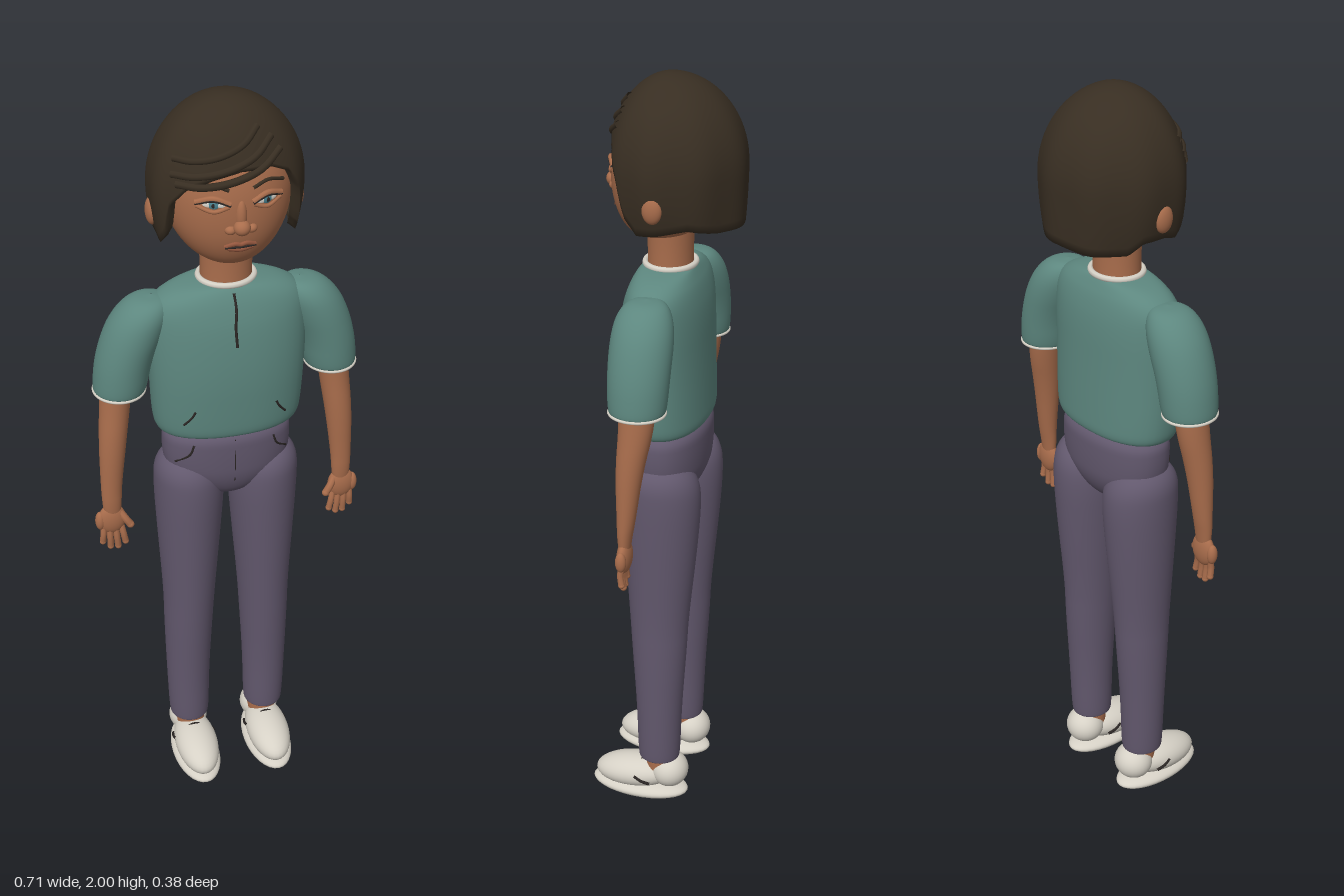
import * as THREE from 'three';

const mat = (name, color, side = THREE.FrontSide) => {
  const m = new THREE.MeshStandardMaterial({ color, side });
  m.name = name;
  return m;
};

// Smooth body from horizontal rings [x, y, z, rx, rz], listed bottom to top.
function loft(rings, power = 2, seg = 40) {
  let rows = rings;
  for (let k = 0; k < 3; k++) {
    const next = [rows[0]];
    for (let i = 0; i < rows.length - 1; i++) {
      for (const t of [0.25, 0.75]) next.push(rows[i].map((v, n) => v + (rows[i + 1][n] - v) * t));
    }
    next.push(rows[rows.length - 1]);
    rows = next;
  }
  const curve = (v) => Math.sign(v) * Math.abs(v) ** (2 / power);
  const pos = [], idx = [];
  rows.forEach(([x, y, z, rx, rz], i) => {
    for (let j = 0; j < seg; j++) {
      const a = (j / seg) * Math.PI * 2;
      pos.push(x + rx * curve(Math.cos(a)), y, z + rz * curve(Math.sin(a)));
      if (i === rows.length - 1) continue;
      const p = i * seg + j, q = i * seg + ((j + 1) % seg);
      idx.push(p, p + seg, q, q, p + seg, q + seg);
    }
  });
  return toGeometry(pos, idx);
}

function toGeometry(pos, idx) {
  const g = new THREE.BufferGeometry();
  g.setAttribute('position', new THREE.Float32BufferAttribute(pos, 3));
  g.setIndex(idx);
  g.computeVertexNormals();
  return g;
}

// Lower hair edge: [azimuth in degrees from the front towards the left, height]
const HAIRLINE = [[-180, 1.65], [-150, 1.64], [-122, 1.64], [-110, 1.67], [-90, 1.67], [-75, 1.66], [-64, 1.69],
  [-57, 1.77], [-40, 1.825], [-20, 1.85], [0, 1.865], [25, 1.865], [42, 1.84], [55, 1.775], [62, 1.69],
  [75, 1.65], [95, 1.655], [120, 1.67], [145, 1.655], [180, 1.65]];

function hairEdge(deg) {
  const i = Math.max(1, HAIRLINE.findIndex((k) => k[0] >= deg));
  const [a, ya] = HAIRLINE[i - 1], [b, yb] = HAIRLINE[i];
  return ya + ((yb - ya) * (deg - a)) / (b - a);
}

function hairPoint(deg, y, scale = 1) {
  const a = THREE.MathUtils.degToRad(deg), s = Math.sin(a), c = Math.cos(a);
  const h = y > 1.78 ? Math.min(1, (y - 1.78) / 0.22) : 0;
  let r = Math.sqrt(1 - h * h);
  if (y < 1.78) r -= ((1.78 - y) / 0.14) ** 2 * (0.02 + 0.1 * s * s);
  r *= scale * (1 + 0.013 * Math.sin(a * 9) * (1 - h));
  return new THREE.Vector3(0.186 * s * r, y, (c > 0 ? 0.147 : 0.187) * c * r);
}

function hairGeometry() {
  const seg = 120, rows = 26, pos = [], idx = [];
  for (let i = 0; i <= rows + 2; i++) {
    for (let j = 0; j < seg; j++) {
      const deg = -180 + (360 * j) / seg, low = hairEdge(deg);
      const t = Math.min(1, i / rows);
      const y = 2 - (2 - low) * (1 - Math.cos((t * Math.PI) / 2));
      // The last two rows fold under to give the edge thickness
      const p = hairPoint(deg, i > rows ? low + 0.008 * (i - rows) : y, i > rows ? 1 - 0.07 * (i - rows) : 1);
      pos.push(p.x, p.y, p.z);
      if (i === rows + 2) continue;
      const a = i * seg + j, b = i * seg + ((j + 1) % seg);
      idx.push(a, a + seg, b, b, a + seg, b + seg);
    }
  }
  return toGeometry(pos, idx);
}

export function createModel() {
  const model = new THREE.Group();
  const skin = mat('skin', 0xa96d4c), shirt = mat('shirt', 0x5d877f), pants = mat('trousers', 0x62586d);
  const hair = mat('hair', 0x382e22, THREE.DoubleSide), cream = mat('shoe cream', 0xd6d1c6);
  const line = mat('dark stitching', 0x2b2624), white = mat('eye white', 0xd8d4cc);
  const iris = mat('iris', 0x4b8290), lip = mat('lip', 0x96583f);

  const add = (name, geo, material, parent = model) => {
    const m = new THREE.Mesh(geo, material);
    m.name = name;
    parent.add(m);
    return m;
  };
  const ball = (name, material, p, r, parent = model) => {
    const m = add(name, new THREE.SphereGeometry(1, 32, 20), material, parent);
    m.position.set(...p);
    m.scale.set(...r);
    return m;
  };
  const tube = (name, material, pts, r, parent = model) =>
    add(name, new THREE.TubeGeometry(new THREE.CatmullRomCurve3(pts), 20, r, 8), material, parent);
  const ring = (name, material, p, rx, rz, r) => {
    const m = add(name, new THREE.TorusGeometry(1, r / rx, 8, 40), material);
    m.rotation.x = Math.PI / 2;
    m.position.set(...p);
    m.scale.set(rx, rz, rx);
    return m;
  };
  // Thin line laid on the front of a mesh through [x, y] points
  const ray = new THREE.Raycaster();
  const seam = (name, material, target, pts, r) => {
    const on = pts.map(([x, y]) => {
      ray.set(new THREE.Vector3(x, y, 1), new THREE.Vector3(0, 0, -1));
      const hit = ray.intersectObject(target)[0];
      return hit ? hit.point : new THREE.Vector3(x, y, 0.1);
    });
    return tube(name, material, on, r);
  };

  // Torso and hips
  const torso = add('shirtBody', loft([
    [0, 1.125, 0, 0.001, 0.001], [0, 1.12, 0, 0.165, 0.092], [0, 1.13, 0, 0.185, 0.105], [0, 1.18, 0.003, 0.192, 0.107],
    [0, 1.3, 0.008, 0.197, 0.108], [0, 1.42, 0.005, 0.2, 0.102], [0, 1.485, 0.003, 0.195, 0.088],
    [0, 1.52, 0.003, 0.145, 0.072], [0, 1.535, 0, 0.065, 0.06], [0, 1.535, 0, 0.001, 0.001]], 2.25), shirt);
  const hips = add('trouserHips', loft([
    [0, 0.9, 0, 0.001, 0.001], [0, 0.92, 0, 0.06, 0.06], [0, 0.98, -0.003, 0.155, 0.093], [0, 1.05, -0.003, 0.168, 0.099],
    [0, 1.13, -0.002, 0.162, 0.098], [0, 1.14, 0, 0.001, 0.001]], 2.2), pants);
  seam('neckPlacket', line, torso, [[0, 1.52], [0.002, 1.48], [-0.002, 1.44], [0, 1.39]], 0.0035);
  seam('flySeam', line, hips, [[0, 1.11], [0, 1.05], [0, 0.98]], 0.0015);
  ring('collar', cream, [0, 1.535, 0], 0.068, 0.062, 0.008);

  // Neck and head
  add('neck', loft([[0, 1.5, 0, 0.064, 0.056], [0, 1.58, 0, 0.063, 0.055], [0, 1.68, 0, 0.07, 0.06]]), skin);
  const head = add('head', loft([
    [0, 1.6, 0.03, 0.001, 0.001], [0, 1.602, 0.03, 0.045, 0.05], [0, 1.63, 0.018, 0.095, 0.092], [0, 1.68, 0.008, 0.132, 0.124],
    [0, 1.74, 0, 0.153, 0.141], [0, 1.81, -0.003, 0.157, 0.143], [0, 1.88, -0.01, 0.145, 0.132],
    [0, 1.95, -0.01, 0.1, 0.09], [0, 1.975, 0, 0.001, 0.001]], 2.1, 56), skin);

  // Face
  ball('noseBridge', skin, [0, 1.757, 0.133], [0.014, 0.042, 0.016]);
  ball('noseTip', skin, [0, 1.73, 0.143], [0.02, 0.019, 0.02]);
  seam('upperLip', lip, head, [[-0.036, 1.676], [-0.014, 1.684], [0, 1.681], [0.014, 1.684], [0.036, 1.676]], 0.006);
  seam('lowerLip', lip, head, [[-0.03, 1.672], [0, 1.667], [0.03, 1.672]], 0.007);
  seam('mouthLine', line, head, [[-0.037, 1.675], [0, 1.6755], [0.037, 1.675]], 0.0025).position.z = 0.0055;
  for (const s of [1, -1]) {
    ball('nostril', skin, [s * 0.025, 1.723, 0.132], [0.014, 0.012, 0.015]);
    const eye = ball('eyeWhite', white, [s * 0.063, 1.787, 0.12], [0.036, 0.013, 0.01]);
    eye.rotation.y = s * 0.4;
    ball('iris', iris, [s * 0.063, 1.787, 0.1265], [0.015, 0.0115, 0.005]).rotation.y = s * 0.4;
    ball('pupil', line, [s * 0.063, 1.787, 0.1305], [0.006, 0.006, 0.002]);
    seam('upperEyelid', skin, head, [[s * 0.026, 1.789], [s * 0.063, 1.803], [s * 0.101, 1.791]], 0.0075);
    seam('lashLine', line, head, [[s * 0.026, 1.787], [s * 0.063, 1.799], [s * 0.103, 1.789]], 0.003).position.z = 0.005;
    seam('lowerEyelid', skin, head, [[s * 0.028, 1.783], [s * 0.063, 1.771], [s * 0.099, 1.783]], 0.005);
    seam('eyebrow', hair, head, [[s * 0.028, 1.822], [s * 0.065, 1.833], [s * 0.108, 1.82]], 0.0045);
    ball('ear', skin, [s * 0.176, 1.722, -0.01], [0.016, 0.035, 0.025]);
  }

  // Hair with a side-swept fringe
  add('hairShell', hairGeometry(), hair);
  const strands = [[40, 1.895, -52, 1.83], [36, 1.925, -58, 1.85], [25, 1.95, -60, 1.885]];
  for (const [a0, y0, a1, y1] of strands) {
    const pts = [0, 0.25, 0.5, 0.75, 1].map((t) =>
      hairPoint(a0 + (a1 - a0) * t, y0 + (y1 - y0) * t - 0.02 * Math.sin(t * Math.PI), 0.985));
    tube('fringeStrand', hair, pts, 0.009);
  }

  for (const s of [1, -1]) {
    // Sleeves and arms
    add('sleeve', loft([
      [s * 0.272, 1.255, -0.003, 0.001, 0.001], [s * 0.272, 1.247, -0.003, 0.062, 0.066], [s * 0.27, 1.262, -0.003, 0.068, 0.072],
      [s * 0.258, 1.34, -0.003, 0.071, 0.076], [s * 0.228, 1.42, -0.002, 0.076, 0.077], [s * 0.205, 1.47, 0, 0.068, 0.068],
      [s * 0.19, 1.5, 0, 0.045, 0.045], [s * 0.185, 1.505, 0, 0.001, 0.001]]), shirt);
    ring('sleeveCuff', cream, [s * 0.272, 1.25, -0.003], 0.0635, 0.068, 0.004);
    add('arm', loft([
      [s * 0.307, 0.87, 0.02, 0.02, 0.012], [s * 0.307, 0.92, 0.02, 0.025, 0.018], [s * 0.306, 0.97, 0.016, 0.027, 0.023],
      [s * 0.297, 1.1, 0.01, 0.035, 0.034], [s * 0.283, 1.22, -0.006, 0.039, 0.044], [s * 0.272, 1.32, -0.005, 0.04, 0.046]]), skin);

    // Hands
    const hand = new THREE.Group();
    hand.name = 'hand';
    model.add(hand);
    ball('palm', skin, [s * 0.309, 0.87, 0.02], [0.036, 0.045, 0.018], hand);
    const digit = (name, from, to, r) => tube(name, skin, [new THREE.Vector3(s * from[0], from[1], from[2]),
      new THREE.Vector3(s * (from[0] + to[0]) / 2, (from[1] + to[1]) / 2, (from[2] + to[2]) / 2 + 0.003),
      new THREE.Vector3(s * to[0], to[1], to[2])], r, hand)
      && ball(name + 'Tip', skin, [s * to[0], to[1], to[2]], [r, r, r], hand);
    for (let i = 0; i < 4; i++) {
      digit('finger', [0.287 + i * 0.015, 0.85, 0.021], [0.277 + i * 0.0195, [0.795, 0.782, 0.783, 0.8][i], 0.026 - i * 0.002], 0.0085);
    }
    digit('thumb', [0.288, 0.89, 0.022], [0.264, 0.853, 0.034], 0.01);
    ball('handHeel', skin, [s * 0.34, 0.868, 0.02], [0.013, 0.027, 0.014], hand);

    // Legs
    add('trouserLeg', loft([
      [s * 0.108, 0.14, -0.002, 0.001, 0.001], [s * 0.108, 0.132, -0.002, 0.05, 0.053], [s * 0.108, 0.145, -0.002, 0.055, 0.057],
      [s * 0.109, 0.3, -0.003, 0.059, 0.061], [s * 0.106, 0.48, -0.003, 0.066, 0.073], [s * 0.103, 0.58, -0.002, 0.069, 0.078],
      [s * 0.1, 0.8, -0.006, 0.084, 0.096], [s * 0.098, 0.94, -0.007, 0.092, 0.104], [s * 0.102, 1.0, -0.004, 0.085, 0.095],
      [s * 0.11, 1.035, -0.002, 0.05, 0.06], [s * 0.11, 1.045, 0, 0.001, 0.001]]), pants);

    // Pocket lines
    seam('shirtPocketLine', line, torso, [[s * 0.102, 1.215], [s * 0.112, 1.195], [s * 0.13, 1.172]], 0.003);
    seam('trouserPocketLine', line, hips, [[s * 0.102, 1.1], [s * 0.113, 1.07], [s * 0.145, 1.04]], 0.003);

    // Shoes
    const x = s * 0.105;
    ball('shoeSole', cream, [x, 0.026, 0.054], [0.065, 0.026, 0.136]);
    ball('shoeUpper', cream, [x, 0.068, 0.068], [0.059, 0.046, 0.114]).rotation.x = 0.12;
    ball('shoeHeel', cream, [x, 0.09, -0.03], [0.054, 0.05, 0.052]);
    add('ankle', new THREE.CylinderGeometry(0.04, 0.04, 0.08, 28), skin).position.set(x, 0.115, -0.005);
    for (const k of [1, -1]) {
      tube('shoeSideSeam', line, [[0.054, 0.062, 0.012], [0.058, 0.07, 0.035], [0.056, 0.08, 0.055]]
        .map(([a, b, c]) => new THREE.Vector3(x + k * a, b, c)), 0.004);
    }
    tube('shoeLace', line, [-1, 0, 1].map((k) => new THREE.Vector3(x + k * 0.028, 0.115 - Math.abs(k) * 0.009, 0.045)), 0.003);
  }
  return model;
}
